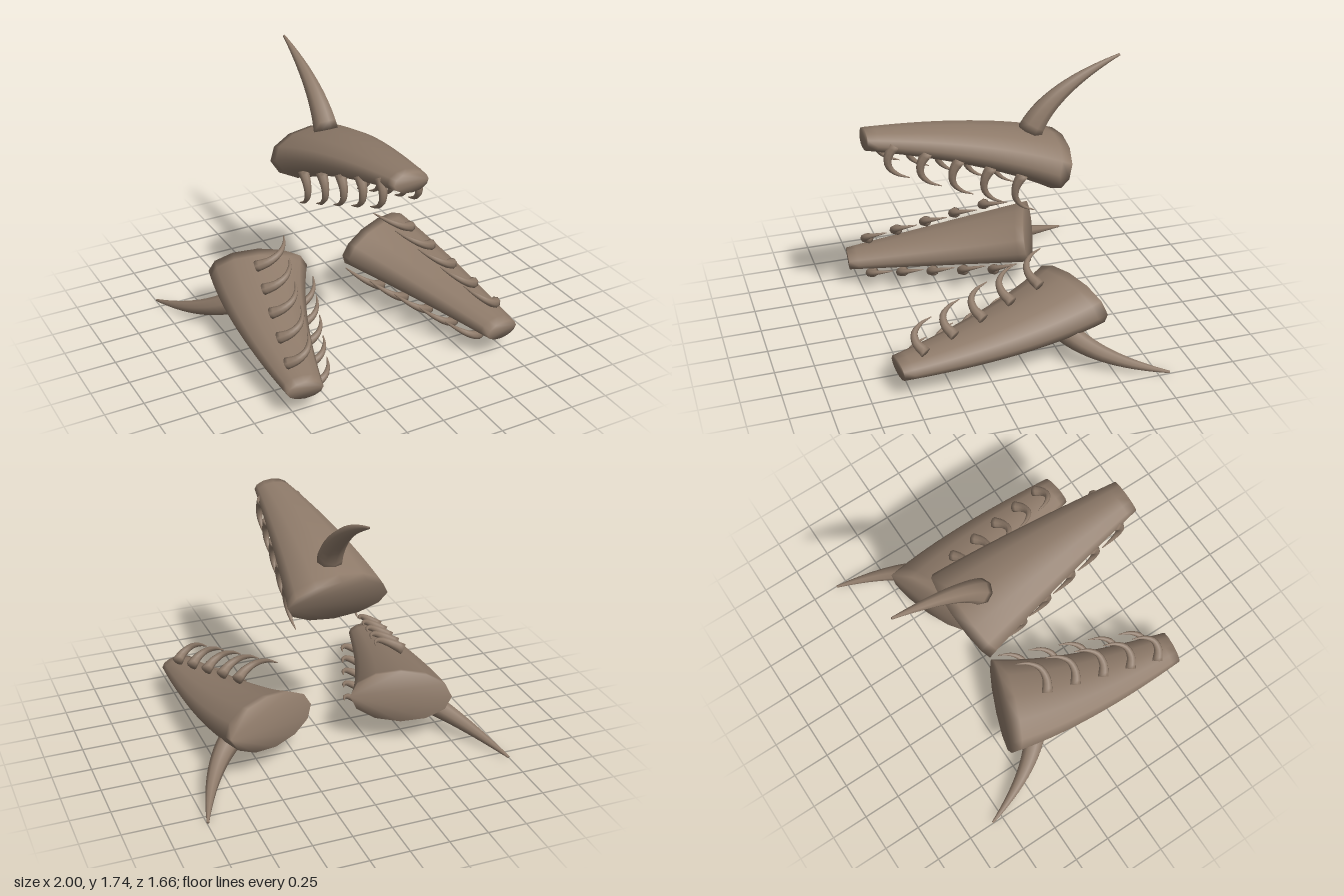
import * as THREE from 'three';

const CENTRE_Y = 0.58;
const hide = new THREE.MeshStandardMaterial({ color: 0x8f7b6a });
hide.name = 'brown chitin';

// Point in a jaw's own frame: y points outward from the shared axis
const P = (x, y, z) => new THREE.Vector3(x, y - CENTRE_Y, z);
const lerp = THREE.MathUtils.lerp;
const X = new THREE.Vector3(1, 0, 0), Y = new THREE.Vector3(0, 1, 0), Z = new THREE.Vector3(0, 0, 1);

// Capped tapering tube with an elliptical section; "up" sets the section's second axis
function sweep(curve, steps, sides, up, radiusW, radiusN) {
  const pos = [], index = [];
  for (let i = 0; i <= steps; i++) {
    const u = i / steps;
    const p = curve.getPointAt(u), t = curve.getTangentAt(u);
    const n = up.clone().projectOnPlane(t).normalize();
    const w = t.clone().cross(n);
    for (let j = 0; j < sides; j++) {
      const a = (j / sides) * Math.PI * 2;
      const v = p.clone()
        .addScaledVector(w, Math.cos(a) * radiusW(u))
        .addScaledVector(n, Math.sin(a) * radiusN(u));
      pos.push(v.x, v.y, v.z);
      if (i < steps) {
        const k = (j + 1) % sides, r = i * sides, s = r + sides;
        index.push(r + j, s + j, r + k, r + k, s + j, s + k);
      }
    }
  }
  // End caps share the rim vertices, so the shading rolls over the edge
  const last = steps * sides;
  for (let j = 1; j < sides - 1; j++) {
    index.push(0, j, j + 1, last, last + j + 1, last + j);
  }
  const g = new THREE.BufferGeometry();
  g.setAttribute('position', new THREE.Float32BufferAttribute(pos, 3));
  g.setIndex(index);
  g.computeVertexNormals();
  return g;
}

// Shell, narrow in front and wide behind; the path turns with the jaw, the section stays level
function shellGeometry(angle) {
  const path = [P(0, 1.382, 0.82), P(0, 1.283, 0.06), P(0, 1.083, -0.385)]
    .map(p => p.applyAxisAngle(Z, angle));
  return sweep(new THREE.QuadraticBezierCurve3(...path), 20, 12, Y,
    u => lerp(0.114, 0.325, u), u => lerp(0.061, 0.167, u));
}

// Long horn swept backward and outward
function hornGeometry() {
  const curve = new THREE.QuadraticBezierCurve3(
    P(0, 1.29, -0.24), P(0, 1.55, -0.36), P(0, 1.729, -0.823));
  const r = u => lerp(0.083, 0.008, u);
  return sweep(curve, 16, 8, X, r, r);
}

// Hooked tooth; k runs from 0 at the front to 1 at the rear
function toothGeometry(k, side) {
  const bx = lerp(0.115, 0.225, k), tx = lerp(0.13, 0.208, k);
  const by = lerp(1.368, 1.107, k), bz = lerp(0.66, -0.115, k);
  const stretch = lerp(1, 1.2, k);
  const hook = [[0, 0], [0.04, -0.064], [0.04, -0.133], [-0.01, -0.188], [-0.087, -0.222]];
  const curve = new THREE.CatmullRomCurve3(hook.map(([z, y], i) =>
    P(side * lerp(bx, tx, i / 4), by + y * stretch, bz + z)));
  const r = u => lerp(0.037, 0.003, u);
  return sweep(curve, 12, 8, X, r, r);
}

function addMesh(parent, name, geometry) {
  const mesh = new THREE.Mesh(geometry, hide);
  mesh.name = name;
  parent.add(mesh);
}

export function createModel() {
  const model = new THREE.Group();
  model.name = 'threePartJaw';

  const spikeParts = [['horn', hornGeometry()]];
  for (const side of [-1, 1]) {
    for (let i = 0; i < 5; i++) {
      spikeParts.push([(side > 0 ? 'leftTooth' : 'rightTooth') + (i + 1), toothGeometry(i / 4, side)]);
    }
  }

  // Three jaws spaced evenly around the long axis
  ['upperJaw', 'lowerRightJaw', 'lowerLeftJaw'].forEach((name, i) => {
    const angle = (i * Math.PI * 2) / 3;
    const jaw = new THREE.Group();
    jaw.name = name;
    jaw.position.y = CENTRE_Y;
    addMesh(jaw, 'shell', shellGeometry(angle));

    const spikes = new THREE.Group();
    spikes.name = 'spikes';
    spikes.rotation.z = angle;
    for (const [part, geometry] of spikeParts) addMesh(spikes, part, geometry);
    jaw.add(spikes);
    model.add(jaw);
  });
  return model;
}
